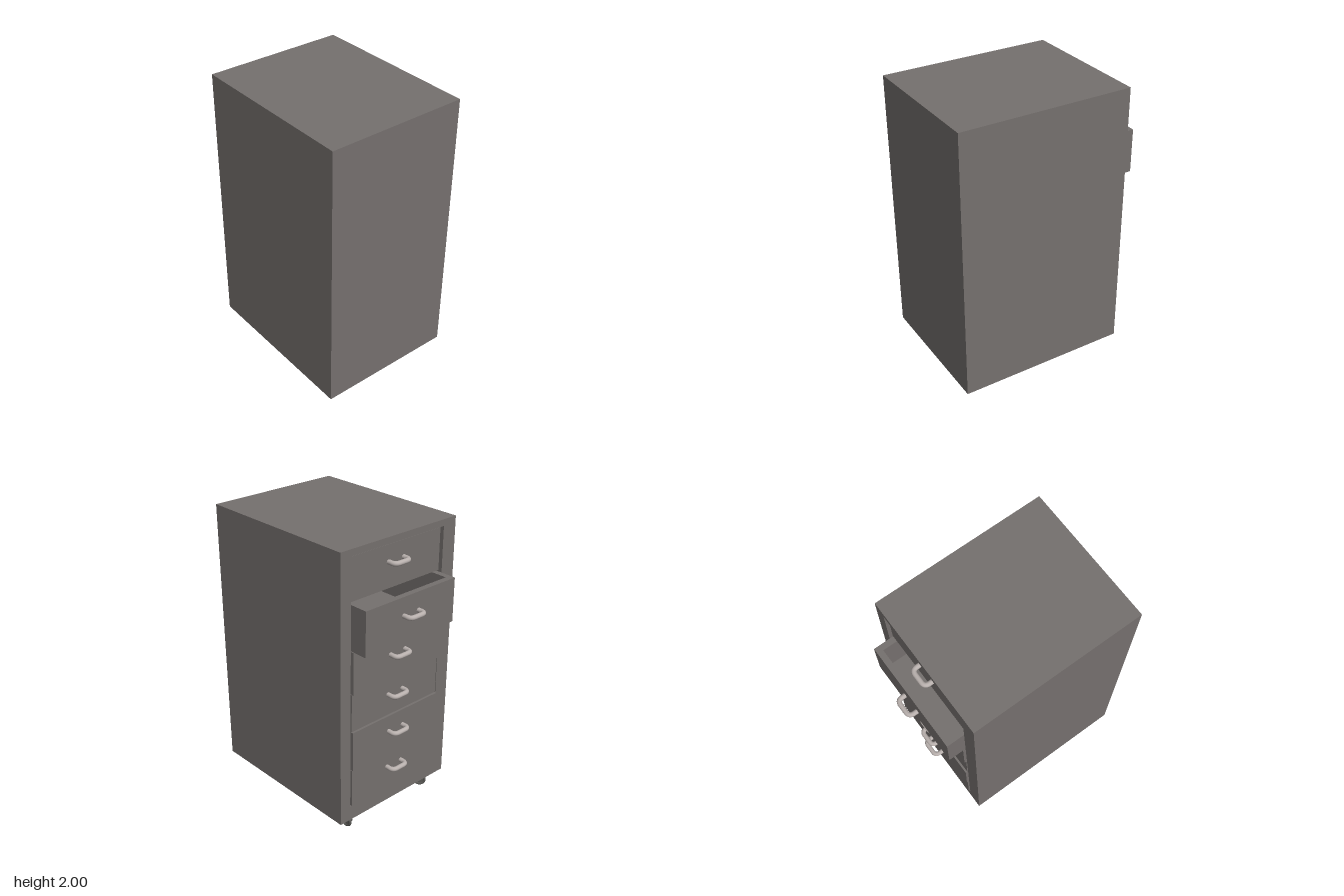
import * as THREE from 'three';

const paint = new THREE.MeshStandardMaterial({ name: 'greyPaint', color: 0x75706e });
const steel = new THREE.MeshStandardMaterial({ name: 'lightSteel', color: 0xb8b0ad });
const dark = new THREE.MeshStandardMaterial({ name: 'darkCaster', color: 0x5c5b58 });

function add(parent, name, geometry, material, x = 0, y = 0, z = 0) {
  const mesh = new THREE.Mesh(geometry, material);
  mesh.name = name;
  mesh.position.set(x, y, z);
  parent.add(mesh);
  return mesh;
}

// Box given by its minimum and maximum corners
function block(parent, name, [x0, y0, z0], [x1, y1, z1], material = paint) {
  return add(parent, name, new THREE.BoxGeometry(x1 - x0, y1 - y0, z1 - z0), material,
    (x0 + x1) / 2, (y0 + y1) / 2, (z0 + z1) / 2);
}

function rectangle(PathType, x0, y0, x1, y1) {
  return new PathType([[x0, y0], [x1, y0], [x1, y1], [x0, y1]].map(p => new THREE.Vector2(...p)));
}

// Rounded U-shaped pull, standing out towards -z
function handleGeometry() {
  const w = 0.063, d = 0.058, r = 0.035;
  const v = (x, z) => new THREE.Vector3(x, 0, -z);
  const path = new THREE.CurvePath();
  path.add(new THREE.LineCurve3(v(-w, -0.005), v(-w, d - r)));
  path.add(new THREE.QuadraticBezierCurve3(v(-w, d - r), v(-w, d), v(-w + r, d)));
  path.add(new THREE.LineCurve3(v(-w + r, d), v(w - r, d)));
  path.add(new THREE.QuadraticBezierCurve3(v(w - r, d), v(w, d), v(w, d - r)));
  path.add(new THREE.LineCurve3(v(w, d - r), v(w, -0.005)));
  return new THREE.TubeGeometry(path, 40, 0.016, 14, false);
}

// Open-topped drawer whose front face lies at z
function makeDrawer(y0, y1, z, handleY, handle) {
  const drawer = new THREE.Group();
  drawer.name = 'drawer';
  const x0 = -0.367, x1 = 0.39, t = 0.04, back = z + 1.1;
  block(drawer, 'drawerFront', [x0, y0, z], [x1, y1, z + t]);
  block(drawer, 'drawerBack', [x0, y0, back - t], [x1, y1, back]);
  block(drawer, 'drawerSide', [x0, y0, z + t], [x0 + t, y1, back - t]);
  block(drawer, 'drawerSide', [x1 - t, y0, z + t], [x1, y1, back - t]);
  block(drawer, 'drawerBottom', [x0 + t, y0, z + t], [x1 - t, y0 + 0.03, back - t]);
  add(drawer, 'handle', handle, steel, 0.015, handleY, z);
  return drawer;
}

// Swivel caster: stem, sloped bracket and wheel beside it
function makeCaster(x, z, turn) {
  const caster = new THREE.Group();
  caster.name = 'caster';
  add(caster, 'stem', new THREE.CylinderGeometry(0.014, 0.014, 0.05, 16), dark, 0, 0.107, 0);
  const profile = new THREE.Shape([[-0.026, 0.1], [0.016, 0.1], [0.016, 0.09], [-0.012, 0.085],
    [-0.016, 0.025], [-0.04, 0.025]].map(p => new THREE.Vector2(...p)));
  const bracket = new THREE.ExtrudeGeometry(profile, { depth: 0.034, bevelEnabled: false });
  add(caster, 'bracket', bracket, dark, 0, 0, -0.017);
  const tyre = new THREE.TorusGeometry(0.034, 0.01, 10, 28);
  add(caster, 'tyre', tyre.rotateY(Math.PI / 2), dark, 0.003, 0.044, 0);
  const disc = new THREE.CylinderGeometry(0.032, 0.032, 0.01, 24);
  add(caster, 'wheel', disc.rotateZ(Math.PI / 2), dark, 0.003, 0.044, 0);
  const axle = new THREE.CylinderGeometry(0.007, 0.007, 0.042, 12);
  add(caster, 'axle', axle.rotateZ(Math.PI / 2), dark, -0.009, 0.044, 0);
  caster.position.set(x, 0, z);
  caster.rotation.y = turn;
  return caster;
}

export function createModel() {
  const model = new THREE.Group();
  model.name = 'drawerCabinet';

  // Cabinet shell, open towards -z
  const shell = rectangle(THREE.Shape, -0.48, 0.13, 0.48, 2);
  shell.holes.push(rectangle(THREE.Path, -0.374, 0.235, 0.398, 1.957));
  const shellGeometry = new THREE.ExtrudeGeometry(shell, { depth: 1.14, bevelEnabled: false });
  add(model, 'cabinetShell', shellGeometry, paint, 0, 0, -0.497);
  block(model, 'cabinetEndPanel', [-0.48, 0.13, 0.643], [0.48, 2, 0.684]);

  // Drawers: bottom, top, face position, handle height
  const handle = handleGeometry();
  for (const [y0, y1, z, handleY] of [
    [1.665, 1.945, -0.476, 1.835],
    [1.357, 1.655, -0.614, 1.532],
    [1.063, 1.352, -0.512, 1.235],
    [0.798, 1.060, -0.499, 0.947],
    [0.515, 0.795, -0.512, 0.682],
    [0.240, 0.512, -0.505, 0.404],
  ]) model.add(makeDrawer(y0, y1, z, handleY, handle));

  // Casters, each swivelled differently
  for (const [x, z, turn] of [
    [0.34, 0.53, 0], [-0.365, 0.53, 0.75], [0.34, -0.4, 0.1], [-0.365, -0.4, 0.75],
  ]) model.add(makeCaster(x, z, turn));

  return model;
}
